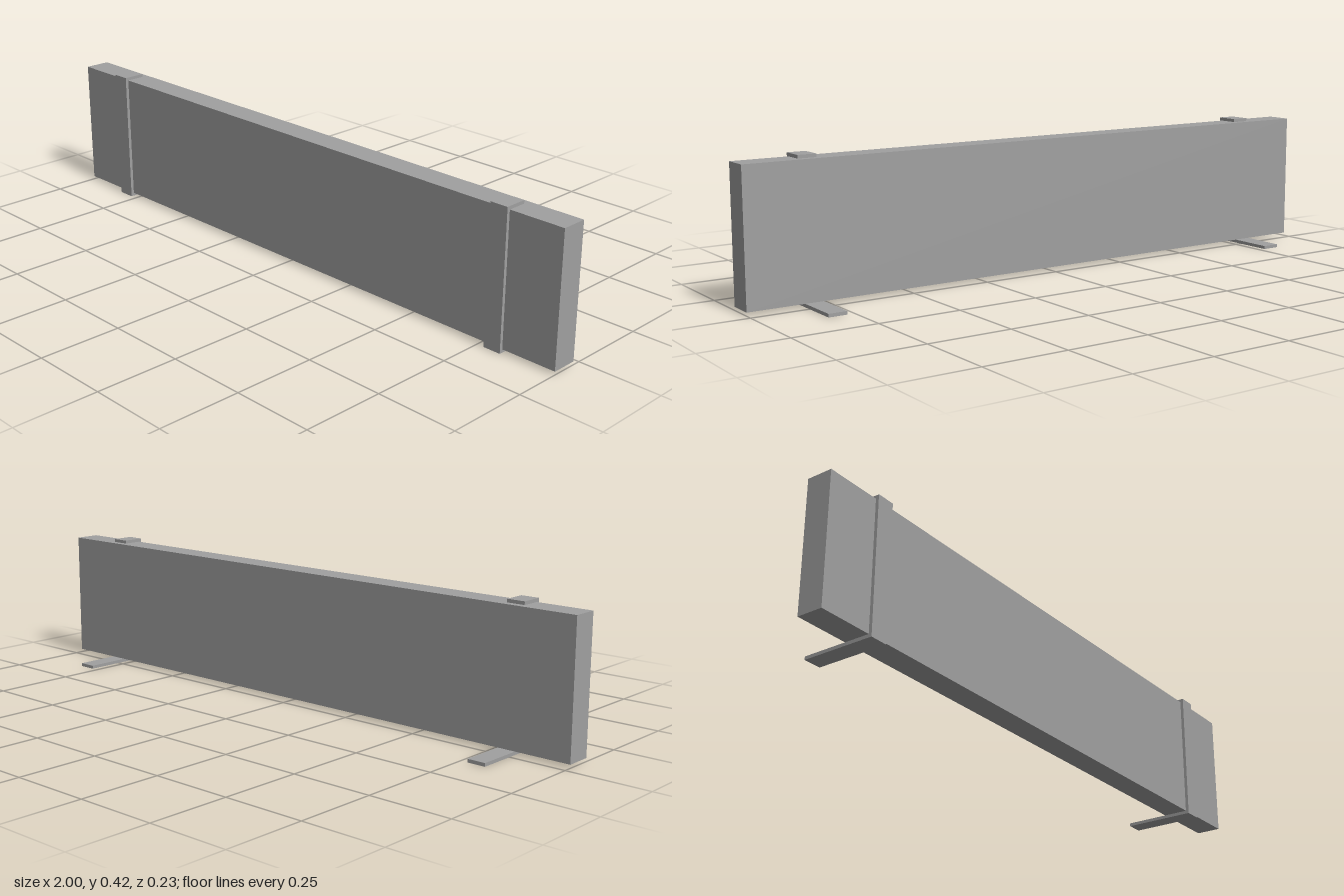
import * as THREE from 'three';

export function createModel() {
  const group = new THREE.Group();
  const grey = new THREE.MeshStandardMaterial({ color: 0xa0a0a0 });
  grey.name = 'grey';

  // Long upright board
  const board = new THREE.Mesh(new THREE.BoxGeometry(2, 0.4, 0.08), grey);
  board.name = 'board';
  board.position.set(0, 0.21, 0.065);
  group.add(board);

  // Bracket profile (z, y): foot to the rear, front strip, hook over the top
  const profile = new THREE.Shape([
    [-0.115, 0], [0.115, 0], [0.115, 0.42], [0.046, 0.42],
    [0.046, 0.41], [0.105, 0.41], [0.105, 0.01], [-0.115, 0.01],
  ].map(([z, y]) => new THREE.Vector2(z, y)));
  const width = 0.056;
  const bracketGeometry = new THREE.ExtrudeGeometry(profile, { depth: width, bevelEnabled: false });
  bracketGeometry.translate(0, 0, -width / 2);
  bracketGeometry.rotateY(-Math.PI / 2);

  // One bracket near each end
  for (const side of [-1, 1]) {
    const bracket = new THREE.Mesh(bracketGeometry, grey);
    bracket.name = side > 0 ? 'leftBracket' : 'rightBracket';
    bracket.position.x = side * 0.8;
    group.add(bracket);
  }
  return group;
}
